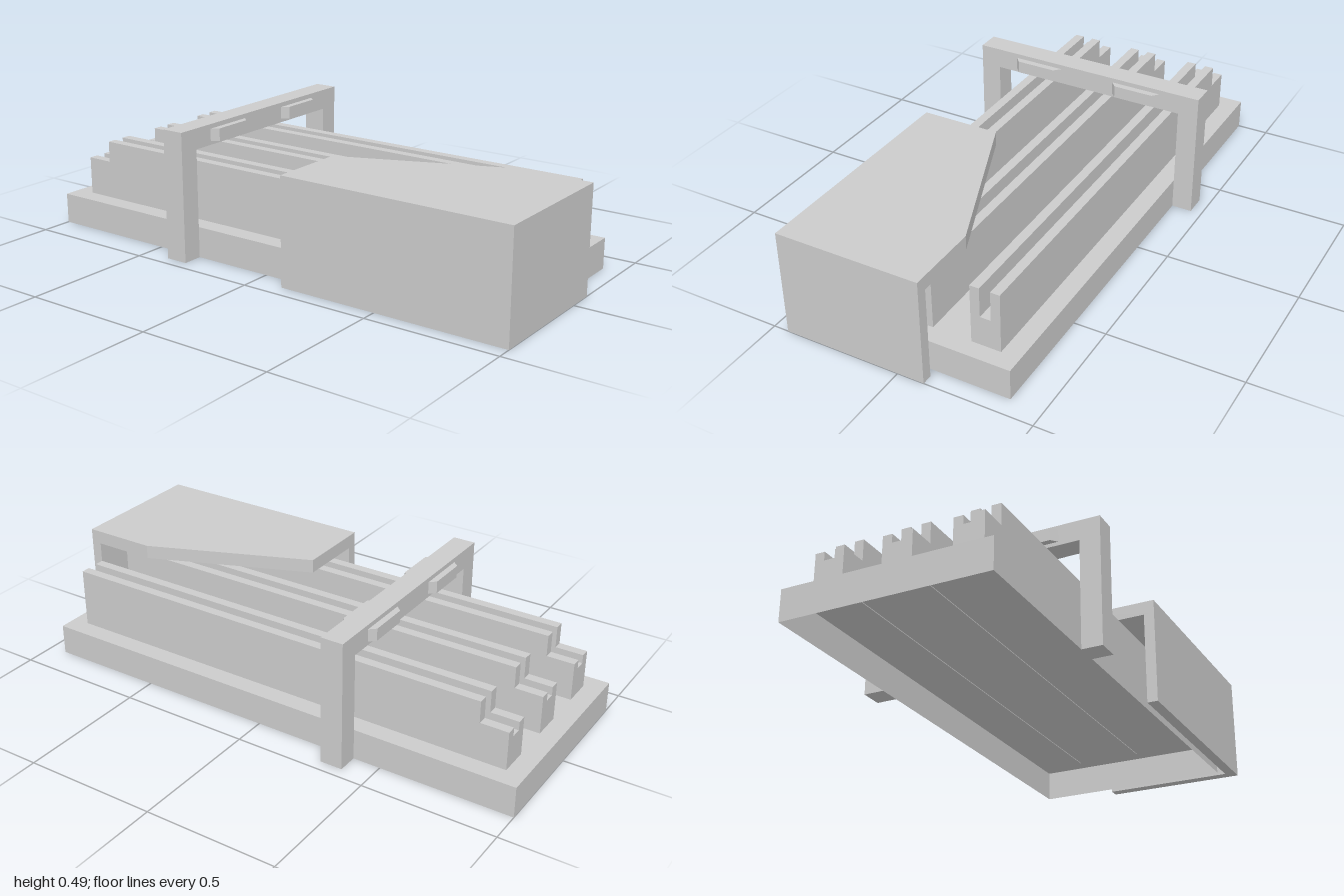
import * as THREE from 'three';

const grey = new THREE.MeshStandardMaterial({ color: 0xcccccc });
const greyOpen = new THREE.MeshStandardMaterial({ color: 0xcccccc, side: THREE.DoubleSide });

function shapeOf(points) {
  return new THREE.Shape(points.map(([a, b]) => new THREE.Vector2(a, b)));
}

function extrude(points, depth) {
  return new THREE.ExtrudeGeometry(shapeOf(points), { depth, bevelEnabled: false });
}

function add(parent, name, geometry, material = grey) {
  const mesh = new THREE.Mesh(geometry, material);
  mesh.name = name;
  parent.add(mesh);
  return mesh;
}

// Box given by its two opposite corners
function box(parent, name, [x0, y0, z0], [x1, y1, z1]) {
  const mesh = add(parent, name, new THREE.BoxGeometry(x1 - x0, y1 - y0, z1 - z0));
  mesh.position.set((x0 + x1) / 2, (y0 + y1) / 2, (z0 + z1) / 2);
  return mesh;
}

// Horizontal plate from an outline in (x, z)
function plate(parent, name, outline, y0, y1) {
  const geometry = extrude(outline.map(([x, z]) => [x, -z]), y1 - y0);
  geometry.rotateX(-Math.PI / 2);
  geometry.translate(0, y0, 0);
  return add(parent, name, geometry);
}

// Channel cross-section with a slot in its top
function channel(bottom, top) {
  const w = 0.055, s = 0.02, floor = 0.228;
  return [[-w, bottom], [w, bottom], [w, top], [s, top], [s, floor], [-s, floor], [-s, top], [-w, top]];
}

// Base tray: thin shell, open underneath
function makeBase() {
  const geometry = new THREE.BoxGeometry(0.76, 0.116, 1.93);
  const index = Array.from(geometry.index.array);
  index.splice(18, 6); // leave out the bottom face
  geometry.setIndex(index);
  geometry.clearGroups();
  geometry.translate(0, 0.058, -0.035);
  return geometry;
}

export function createModel() {
  const model = new THREE.Group();
  model.name = 'slottedRailBench';

  add(model, 'baseTray', makeBase(), greyOpen);

  // Three slotted rails, each with a lower step at the back
  for (const x of [-0.255, 0, 0.255]) {
    const rail = new THREE.Group();
    rail.name = 'slottedRail';
    rail.position.x = x;
    add(rail, 'railBody', extrude(channel(0.113, 0.34), 1.69)).position.z = -0.825;
    add(rail, 'railStep', extrude(channel(0.113, 0.26), 0.105)).position.z = -0.93;
    model.add(rail);
  }

  // Gantry frame straddling the tray
  const gantry = new THREE.Group();
  gantry.name = 'gantry';
  const o = 0.457, i = 0.38, top = 0.485, under = 0.408;
  const arch = extrude([[-o, 0], [-i, 0], [-i, under], [i, under], [i, 0], [o, 0], [o, top], [-o, top]], 0.085);
  add(gantry, 'gantryFrame', arch).position.z = -0.396;

  // Chamfered pads passing through the crossbeam
  for (const side of [-1, 1]) {
    const x = side * 0.205, z = -0.353;
    const pad = [[-0.097, 0.042], [-0.075, 0.066], [0.075, 0.066], [0.097, 0.042],
      [0.097, -0.042], [0.075, -0.066], [-0.075, -0.066], [-0.097, -0.042]];
    plate(gantry, 'beamPad', pad.map(([a, b]) => [a + x, b + z]).reverse(), 0.422, 0.468);
  }
  model.add(gantry);

  // Corner hood: cut top plate with a front and a side wall
  const hood = new THREE.Group();
  hood.name = 'cornerHood';
  plate(hood, 'hoodTop', [[-0.443, 1], [0.1, 1], [0.1, 0.72], [-0.145, 0.117], [-0.443, 0.117]], 0.35, 0.402);
  box(hood, 'hoodFrontWall', [-0.443, 0, 0.96], [0.1, 0.35, 1]);
  box(hood, 'hoodSideWall', [-0.443, 0, 0.117], [-0.403, 0.35, 0.96]);
  model.add(hood);

  return model;
}
